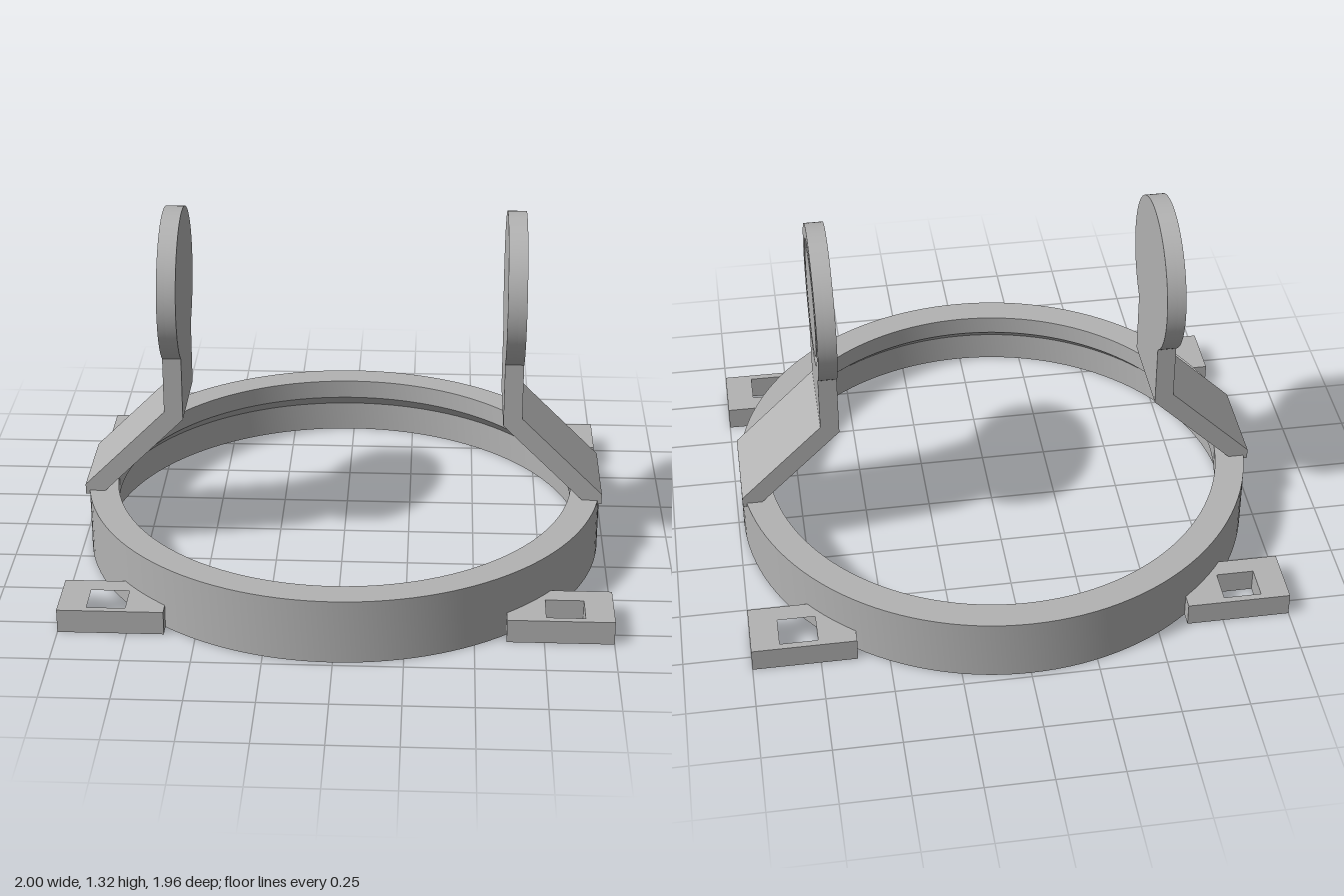
import * as THREE from 'three';
import { toCreasedNormals } from 'three/addons/utils/BufferGeometryUtils.js';

const grey = new THREE.MeshStandardMaterial({ color: 0xb3b3b3 });
grey.name = 'grey plastic';

function part(name, geometry) {
  const mesh = new THREE.Mesh(toCreasedNormals(geometry, 0.5), grey);
  mesh.name = name;
  return mesh;
}

const outline = pts => new THREE.Shape(pts.map(([x, y]) => new THREE.Vector2(x, y)));
const extrude = (shape, depth) =>
  new THREE.ExtrudeGeometry(shape, { depth, bevelEnabled: false, curveSegments: 64 });

// Ring with a chamfered step on its inner wall
function ring() {
  const profile = [
    [0.92, 0], [0.98, 0], [0.98, 0.245], [0.87, 0.245], [0.87, 0.17], [0.92, 0.12], [0.92, 0],
  ].map(([r, y]) => new THREE.Vector2(r, y));
  return part('ring', new THREE.LatheGeometry(profile, 128));
}

// Mounting tab with a square hole, its inner corner following the ring
function tab(sx, sz) {
  const at = pts => pts.map(([x, z]) => [sx * x, -sz * z]);
  const shape = outline(at([
    [0.615, 0.815], [1, 0.815], [1, 0.595], [0.741, 0.595], [0.68, 0.663], [0.615, 0.724],
  ]));
  shape.holes.push(outline(at([[0.755, 0.665], [0.755, 0.79], [0.895, 0.79], [0.895, 0.665]])));
  return part('mountingTab', extrude(shape, 0.09).rotateX(-Math.PI / 2));
}

// Upright plate ending in a round head, drawn as seen from the side
function headShape() {
  const r = 0.29, cy = 1.03, half = 0.175;
  const a = Math.asin(half / r);
  const shape = new THREE.Shape();
  shape.moveTo(-half, 0.6);
  shape.lineTo(half, 0.6);
  shape.absarc(0, cy, r, -Math.PI / 2 + a, Math.PI * 1.5 - a, false);
  shape.closePath();
  return shape;
}

// Arm on the +x side; the other is the same turned half way round
function arm() {
  const group = new THREE.Group();
  const strut = outline([
    [0.98, 0.23], [0.98, 0.27], [0.67, 0.58], [0.67, 0.6], [0.6, 0.6], [0.6, 0.55], [0.92, 0.23],
  ]);
  group.add(part('strut', extrude(strut, 0.35).translate(0, 0, -0.175)));

  const back = extrude(headShape(), 0.04).rotateY(Math.PI / 2).translate(0.6, 0, 0);
  group.add(part('headPlate', back));

  // Outer layer, leaving a circular groove around the centre disc
  const face = headShape();
  face.holes.push(new THREE.Path().absarc(0, 1.03, 0.235, 0, Math.PI * 2, true));
  group.add(part('headRim', extrude(face, 0.03).rotateY(Math.PI / 2).translate(0.64, 0, 0)));
  const disc = new THREE.CylinderGeometry(0.2, 0.2, 0.03, 96);
  group.add(part('headDisc', disc.rotateZ(-Math.PI / 2).translate(0.655, 1.03, 0)));
  return group;
}

export function createModel() {
  const model = new THREE.Group();
  model.name = 'ringBracket';
  model.add(ring());
  for (const sx of [-1, 1]) for (const sz of [-1, 1]) model.add(tab(sx, sz));

  const leftArm = arm();
  leftArm.name = 'leftArm';
  const rightArm = arm();
  rightArm.name = 'rightArm';
  rightArm.rotation.y = Math.PI;
  model.add(leftArm, rightArm);
  return model;
}
